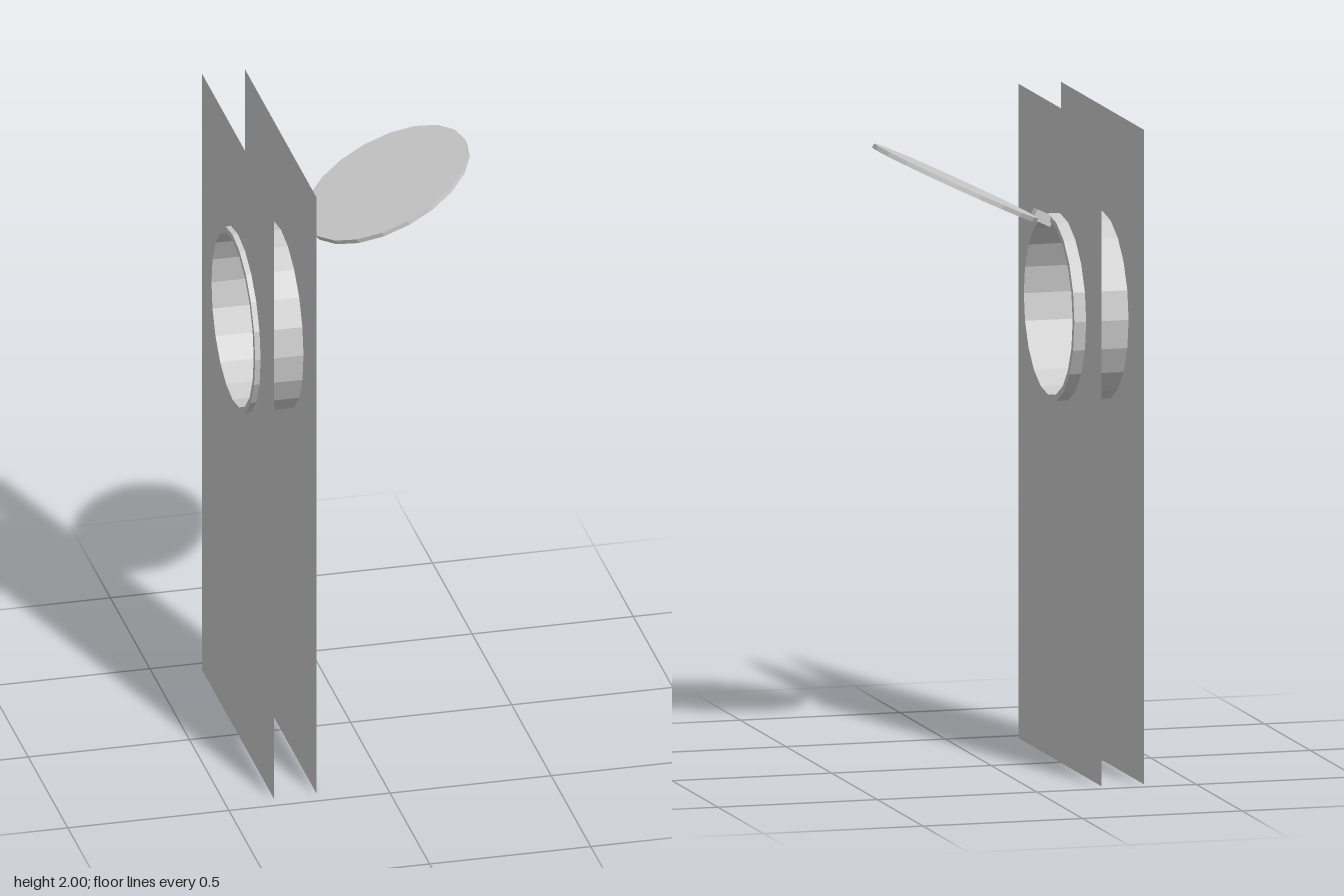
import * as THREE from 'three';

const SIDES = 20;
const HOLE_Y = 1.392;
const TILT = 0.447;

// Regular polygon outline, first corner on the local x axis
function ringPoints(radius, cy) {
  return Array.from({ length: SIDES }, (_, i) => {
    const a = (i / SIDES) * Math.PI * 2;
    return new THREE.Vector2(Math.cos(a) * radius, cy + Math.sin(a) * radius);
  });
}

export function createModel() {
  const model = new THREE.Group();
  const solid = new THREE.MeshStandardMaterial({ color: 0xcccccc, flatShading: true });
  const sheet = new THREE.MeshStandardMaterial({ color: 0xcccccc, flatShading: true, side: THREE.DoubleSide });

  function add(name, geometry, material, x, y, z) {
    const mesh = new THREE.Mesh(geometry, material);
    mesh.name = name;
    mesh.position.set(x, y, z);
    model.add(mesh);
    return mesh;
  }

  // Two thin door sheets, each cut out for the porthole
  const outline = new THREE.Shape([[-0.453, 0], [0.453, 0], [0.453, 2], [-0.453, 2]].map(p => new THREE.Vector2(...p)));
  outline.holes.push(new THREE.Path(ringPoints(0.28, HOLE_Y)));
  const panel = new THREE.ShapeGeometry(outline).rotateY(Math.PI / 2);
  add('innerPanel', panel, sheet, -0.216, 0, 0);
  add('outerPanel', panel, sheet, -0.349, 0, 0);

  // Tube lining the hole, protruding past both sheets
  const tube = new THREE.Shape(ringPoints(0.286, HOLE_Y));
  tube.holes.push(new THREE.Path(ringPoints(0.267, HOLE_Y)));
  const tubeGeometry = new THREE.ExtrudeGeometry(tube, { depth: 0.187, bevelEnabled: false }).rotateY(Math.PI / 2);
  add('portholeRing', tubeGeometry, solid, -0.366, 0, 0);

  // Hinge and raised round cover
  add('hinge', new THREE.BoxGeometry(0.06, 0.032, 0.038), solid, -0.157, 1.669, -0.008).rotation.z = TILT;
  add('cover', new THREE.CylinderGeometry(0.272, 0.272, 0.014, SIDES), solid, 0.115, 1.787, -0.008).rotation.z = TILT;

  return model;
}
